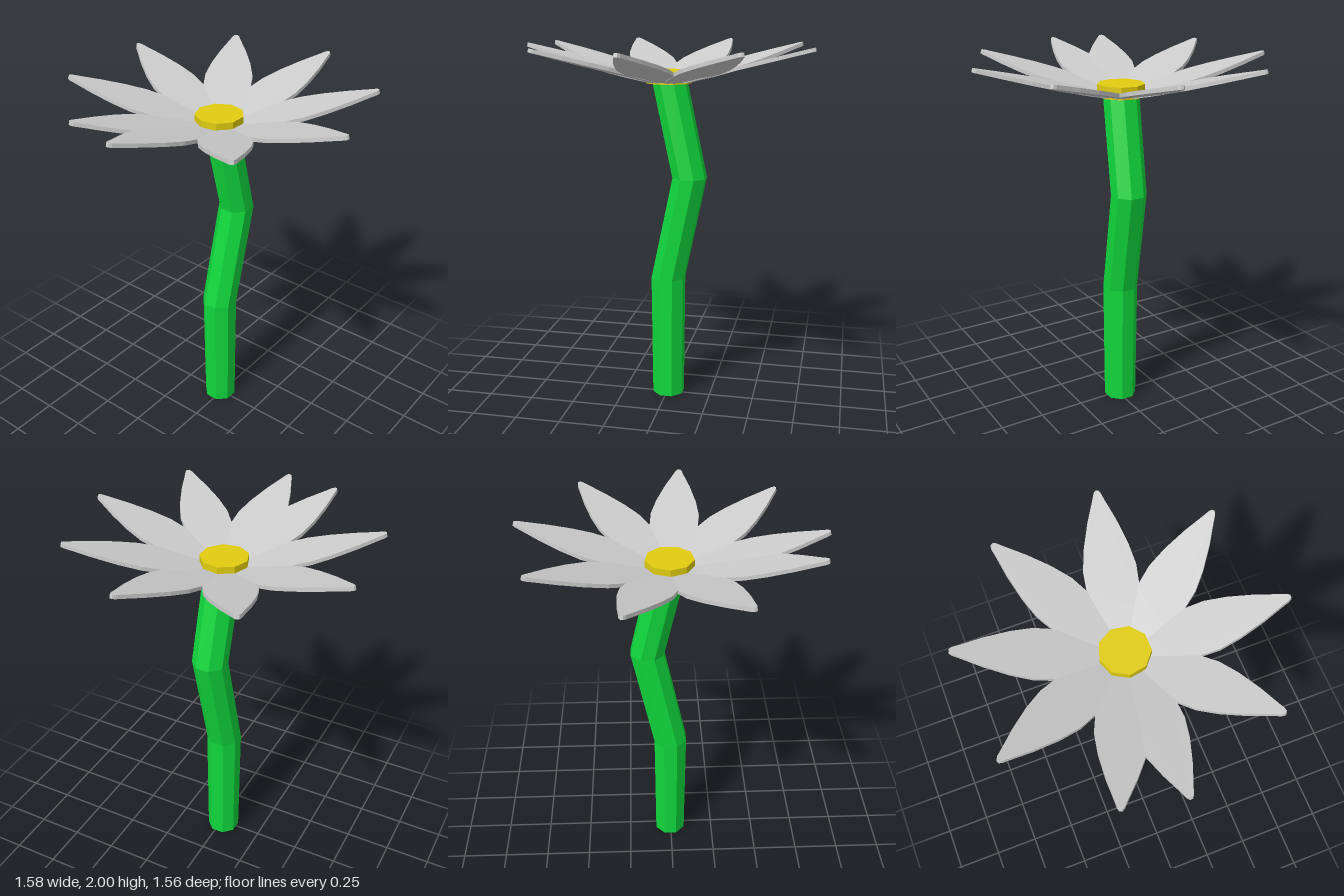
import * as THREE from 'three';

const paint = (color, side = THREE.FrontSide) =>
  new THREE.MeshStandardMaterial({ color, side, flatShading: true });

// Open eight-sided tube through horizontal rings [x, y, z, radius]
function stemGeometry(rings, sides = 8) {
  const geometry = new THREE.CylinderGeometry(1, 1, 1, sides, rings.length - 1, true);
  geometry.rotateY(Math.PI / sides); // flat side to the front
  const p = geometry.attributes.position;
  for (let i = 0; i < p.count; i++) {
    const ring = Math.round((p.getY(i) + 0.5) * (rings.length - 1));
    const [x, y, z, r] = rings[ring];
    p.setXYZ(i, x + p.getX(i) * r, y, z + p.getZ(i) * r);
  }
  geometry.computeVertexNormals();
  return geometry;
}

// Thin pointed slab along +x, tilted upward
function petalGeometry(tilt) {
  const half = [
    [0.05, 0.03], [0.12, 0.074], [0.21, 0.108], [0.32, 0.127], [0.425, 0.129],
    [0.53, 0.108], [0.65, 0.07], [0.75, 0.03], [0.785, 0.017], [0.798, 0.007],
  ].map(([x, w]) => [x / Math.cos(tilt), w]);
  const outline = [
    ...half.map(([x, w]) => new THREE.Vector2(x, -w)),
    ...half.slice().reverse().map(([x, w]) => new THREE.Vector2(x, w)),
  ];
  const geometry = new THREE.ExtrudeGeometry(new THREE.Shape(outline), {
    depth: 0.02, bevelEnabled: false,
  });
  geometry.rotateX(-Math.PI / 2);
  geometry.rotateZ(tilt);
  return geometry;
}

export function createModel() {
  const flower = new THREE.Group();
  flower.name = 'flower';

  // Bent stem, open at the bottom
  const stem = new THREE.Mesh(
    stemGeometry([
      [0.005, 0, -0.016, 0.092],
      [0.003, 0.7, -0.018, 0.098],
      [0.126, 1.285, 0.003, 0.097],
      [0.012, 1.8, -0.017, 0.097],
    ]),
    paint(0x10d83c, THREE.DoubleSide)
  );
  stem.name = 'stem';
  flower.add(stem);

  // Flower head
  const head = new THREE.Group();
  head.name = 'flowerHead';
  head.position.set(0.005, 1.773, -0.02);
  flower.add(head);

  // Nine petals, with a narrower gap between the first and the last
  const petal = petalGeometry(THREE.MathUtils.degToRad(14.5));
  const petalMaterial = paint(0xcccccc);
  for (let i = 0; i < 9; i++) {
    const mesh = new THREE.Mesh(petal, petalMaterial);
    mesh.name = `petal${i + 1}`;
    mesh.rotation.y = THREE.MathUtils.degToRad(157.7 - 42.25 * i);
    head.add(mesh);
  }

  // Nine-sided centre disc
  const disc = new THREE.Mesh(
    new THREE.CylinderGeometry(0.127, 0.127, 0.065, 9),
    paint(0xe0cc10)
  );
  disc.name = 'centreDisc';
  disc.position.y = 0.055;
  disc.rotation.y = Math.PI;
  head.add(disc);

  return flower;
}
